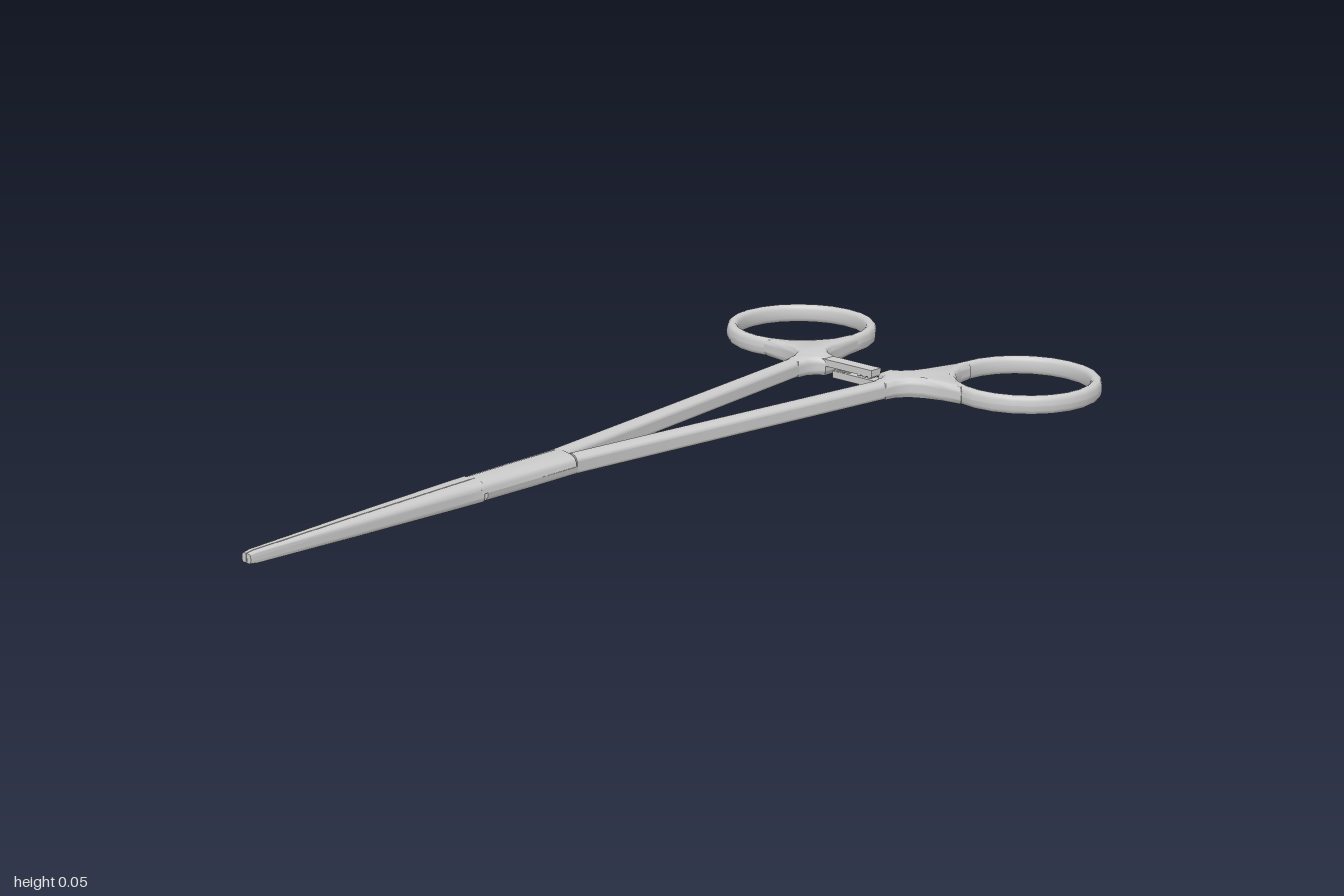
import * as THREE from 'three';
import { toCreasedNormals } from 'three/addons/utils/BufferGeometryUtils.js';

const MID = 0.0235; // height of the mid plane
const material = new THREE.MeshStandardMaterial({ color: 0xcccccc });

// Unit cross-sections, counter-clockwise in x, y
const ROUND = Array.from({ length: 16 }, (_, i) => {
  const a = (i / 16) * Math.PI * 2;
  const f = (v) => Math.sign(v) * Math.abs(v) ** 0.75;
  return [f(Math.cos(a)), f(Math.sin(a))];
});
// flat on the left, rounded on the right
const JAW = [[-1, -1], [0.3, -1], [0.75, -0.8], [1, -0.35], [1, 0.35], [0.75, 0.8], [0.3, 1], [-1, 1]];
// flat underneath, rounded on top
const PLATE = [[-1, 0], [1, 0], [1, 0.4], [0.85, 0.8], [0.5, 1], [-0.5, 1], [-0.85, 0.8], [-1, 0.4]];

function named(name, geometry) {
  const mesh = new THREE.Mesh(geometry, material);
  mesh.name = name;
  return mesh;
}

// Skin a profile along z; section = [x, z, half width, half height, end slant]
function loft(profile, sections) {
  const n = profile.length;
  const pos = [];
  const index = [];
  for (const [x, z, w, h, slant = 0] of sections) {
    for (const [u, v] of profile) pos.push(x + u * w, v * h, z + u * slant);
  }
  for (let s = 0; s < sections.length - 1; s++) {
    for (let j = 0; j < n; j++) {
      const a = s * n + j;
      const b = s * n + ((j + 1) % n);
      index.push(a, b, b + n, a, b + n, a + n);
    }
  }
  const last = (sections.length - 1) * n;
  for (let j = 1; j < n - 1; j++) {
    index.push(0, j + 1, j, last, last + j, last + j + 1);
  }
  const g = new THREE.BufferGeometry();
  g.setAttribute('position', new THREE.Float32BufferAttribute(pos, 3));
  g.setIndex(index);
  return toCreasedNormals(g, 0.8);
}

// Finger loop: a flattened band turned about its own axis
function ringGeometry() {
  const pts = [...ROUND, ROUND[0]].map(([u, v]) => new THREE.Vector2(0.1505 + u * 0.0125, v * 0.0195));
  return new THREE.LatheGeometry(pts, 24);
}

// Web joining shank, finger loop and ratchet, thickest in the middle
function junctionGeometry() {
  const outline = [
    [0.099, -0.59], [0.139, -0.59], [0.143, -0.62], [0.155, -0.645], [0.18, -0.661], [0.22, -0.669],
    [0.27, -0.673], [0.265, -0.698], [0.225, -0.712], [0.19, -0.74], [0.172, -0.78], [0.169, -0.83],
    [0.145, -0.85], [0.138, -0.81], [0.129, -0.76], [0.124, -0.73], [0.115, -0.705], [0.097, -0.688],
    [0.072, -0.68], [0.072, -0.645], [0.088, -0.639], [0.098, -0.62],
  ];
  const shape = new THREE.Shape(outline.map(([x, z]) => new THREE.Vector2(-x, z)));
  const g = new THREE.ExtrudeGeometry(shape, {
    depth: 0.012, bevelSize: 0.01, bevelOffset: -0.01, bevelThickness: 0.0125, bevelSegments: 4, curveSegments: 1,
  });
  g.translate(0, 0, -0.006);
  g.rotateX(Math.PI / 2);
  const p = g.attributes.position;
  for (let i = 0; i < p.count; i++) {
    const d = Math.hypot(p.getX(i) + 0.15, p.getZ(i) + 0.7);
    p.setY(i, p.getY(i) * (1 + 0.26 * Math.exp(-((d / 0.08) ** 2))));
  }
  return toCreasedNormals(g, 0.8);
}

// One half of the clamp: handle on the right (-x), crossing over to the left jaw
function createArm(name) {
  const arm = new THREE.Group();
  arm.name = name;

  const ring = named('fingerRing', ringGeometry());
  ring.position.set(-0.304, 0, -0.833);
  arm.add(ring);

  arm.add(named('handleJunction', junctionGeometry()));

  arm.add(named('shank', loft(ROUND, [
    [-0.123, -0.64, 0.018, 0.019],
    [-0.12, -0.6, 0.0205, 0.0195],
    [-0.07, -0.2, 0.021, 0.0195],
    [-0.0205, 0.2, 0.0215, 0.0195, -0.008],
  ])));

  // Half-thickness crossing of the box lock
  arm.add(named('lockPlate', loft(PLATE, [
    [-0.001, 0.198, 0.041, 0.0195, 0.011],
    [0, 0.32, 0.039, 0.0205],
    [0.0005, 0.448, 0.0355, 0.0205, 0.008],
  ])));

  arm.add(named('jaw', loft(JAW, [
    [0.0185, 0.444, 0.0175, 0.021, 0.004],
    [0.0175, 0.5, 0.0165, 0.0205],
    [0.0125, 0.75, 0.0115, 0.0165],
    [0.0075, 0.985, 0.0065, 0.0115],
    [0.0065, 1.0, 0.0055, 0.009],
  ])));

  // Ratchet bar reaching towards the other handle
  const bar = named('ratchetBar', new THREE.BoxGeometry(0.15, 0.015, 0.03));
  bar.position.set(-0.022, 0.0105, -0.661);
  arm.add(bar);
  // Catch teeth on the side facing the other bar
  for (let i = 0; i < 3; i++) {
    const tooth = named('ratchetTooth', new THREE.BoxGeometry(0.008, 0.004, 0.028));
    tooth.position.set(0.018 + i * 0.014, 0.002, -0.661);
    arm.add(tooth);
  }
  return arm;
}

export function createModel() {
  const model = new THREE.Group();
  model.name = 'lockingClamp';
  const upper = createArm('upperArm');
  // The second arm is the first turned half a turn about the long axis
  const lower = createArm('lowerArm');
  lower.rotation.z = Math.PI;
  for (const arm of [upper, lower]) {
    arm.position.y = MID;
    model.add(arm);
  }
  return model;
}
